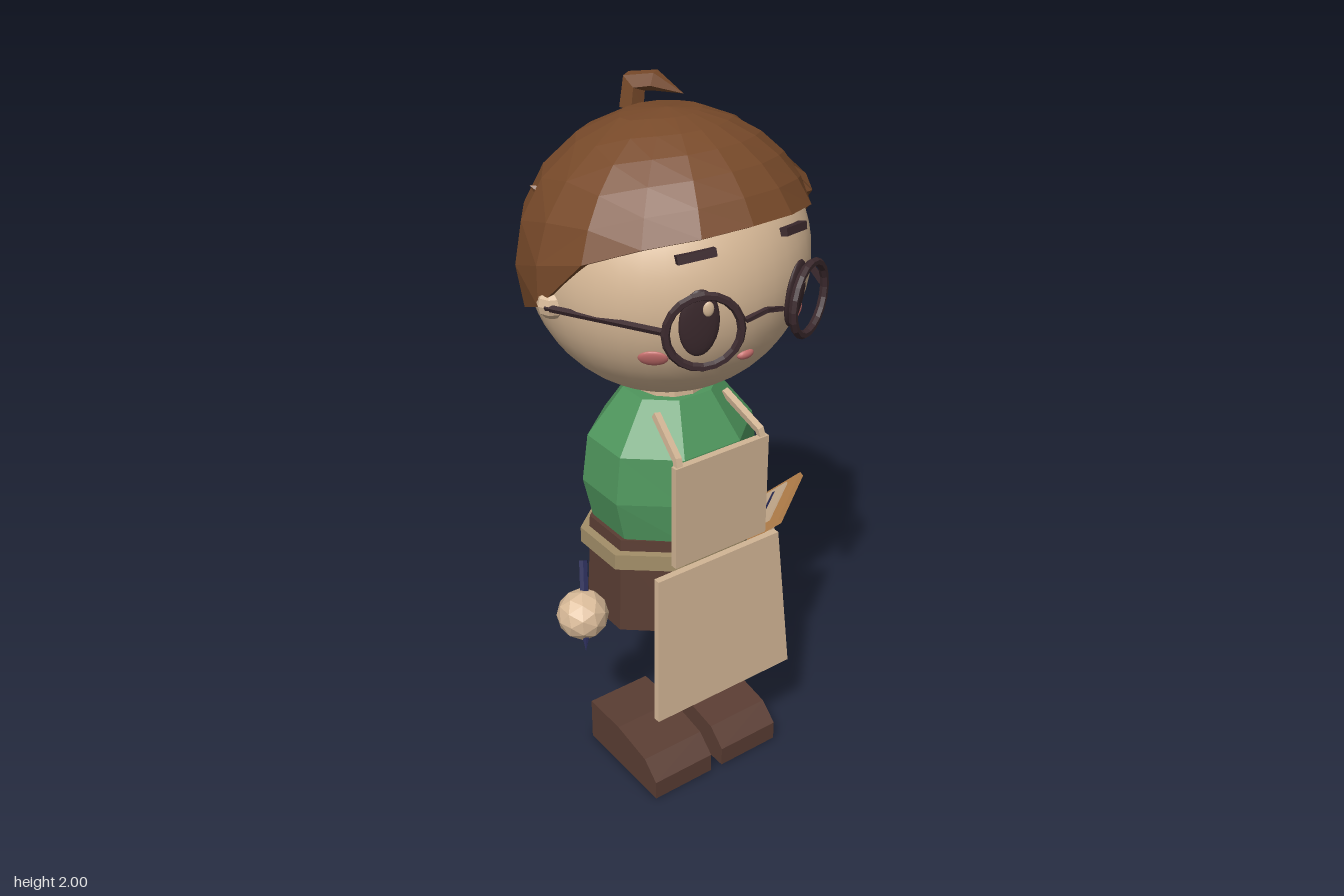
import * as THREE from 'three';

const mat = (name, color) => {
  const m = new THREE.MeshStandardMaterial({ color });
  m.name = name;
  return m;
};
const V = (x, y, z) => new THREE.Vector3(x, y, z);
const UP = V(0, 1, 0);

// Facet a geometry so every face has its own normal
function flat(g) {
  const f = g.index ? g.toNonIndexed() : g;
  f.computeVertexNormals();
  return f;
}

// Skin a stack of rings (bottom to top) with flat faces
function loft(rings) {
  const n = rings[0].length, idx = [];
  for (let i = 0; i < rings.length - 1; i++) {
    for (let j = 0; j < n; j++) {
      const a = i * n + j, b = i * n + (j + 1) % n;
      idx.push(a, b, a + n, b, b + n, a + n);
    }
  }
  const g = new THREE.BufferGeometry().setFromPoints(rings.flat());
  g.setIndex(idx);
  return flat(g);
}

// Octagonal body ring with a flat face to the front; rx, rz reach to the faces
function octagon(y, rx, rz) {
  return Array.from({ length: 8 }, (_, j) => {
    const a = (j + 0.5) * Math.PI / 4;
    return V(Math.sin(a) * rx / 0.924, y, Math.cos(a) * rz / 0.924 + 0.012);
  });
}
const bodyLoft = rows => loft([[rows[0][0], 0, 0], ...rows, [rows.at(-1)[0], 0, 0]].map(r => octagon(...r)));

// Faceted rod along points, with a radius at each point and closed ends
function rod(points, radii, sides = 5) {
  const p = points.map(q => V(...q)), last = p.length - 1;
  const rings = p.map((c, i) => {
    const t = p[Math.min(i + 1, last)].clone().sub(p[Math.max(i - 1, 0)]).normalize();
    const q = new THREE.Quaternion().setFromUnitVectors(UP, t);
    return Array.from({ length: sides }, (_, j) => {
      const a = (j + 0.5) / sides * Math.PI * 2;
      return V(Math.sin(a) * radii[i], 0, Math.cos(a) * radii[i]).applyQuaternion(q).add(c);
    });
  });
  return loft([rings[0].map(() => p[0]), ...rings, rings[last].map(() => p[last])]);
}

export function createModel() {
  const skin = mat('skin', 0xdabb99), hair = mat('hair brown', 0x784a2a), green = mat('shirt green', 0x4f965d);
  const canvas = mat('apron canvas', 0xd2b595), olive = mat('belt olive', 0xa38f69), leather = mat('dark brown', 0x5a3d33);
  const dark = mat('frame dark', 0x3c2a2e), pink = mat('blush pink', 0xc8706e);
  const wood = mat('board wood', 0xc08850), navy = mat('pen navy', 0x282a55);

  const root = new THREE.Group();
  root.name = 'figure';
  const body = new THREE.Group();
  body.name = 'body';
  body.position.x = -0.018;
  root.add(body);
  const add = (name, geo, material, pos = [0, 0, 0], parent = body) => {
    const m = new THREE.Mesh(geo, material);
    m.name = name;
    m.position.set(...pos);
    parent.add(m);
    return m;
  };

  // Head
  const HY = 1.565, R = V(0.367, 0.355, 0.358);
  add('head', new THREE.SphereGeometry(1, 40, 28), skin, [0, HY, 0]).scale.copy(R);
  add('neck', flat(new THREE.CylinderGeometry(0.1, 0.1, 0.08, 12)), skin, [0, 1.2, 0.01]);

  // Flattened piece lying on the face at x, y
  const onFace = (name, x, y, w, h, d, material, lift = 0) => {
    const dx = x / R.x, dy = (y - HY) / R.y;
    const z = R.z * Math.sqrt(1 - dx * dx - dy * dy);
    const n = V(dx / R.x, dy / R.y, z / R.z / R.z).normalize();
    const m = add(name, new THREE.SphereGeometry(1, 16, 12), material, V(x, y, z).addScaledVector(n, lift).toArray());
    m.scale.set(w, h, d);
    m.quaternion.setFromEuler(new THREE.Euler(-Math.asin(n.y), Math.atan2(n.x, n.z), 0, 'YXZ'));
    return m;
  };

  // Hair cap: high over the brow, low at the nape
  const rim = [1.085, 1.11, 1.17, 1.31, 1.70, 1.87, 1.89, 1.91, 1.91], H = V(0.392, 0.375, 0.382);
  const capRing = (f, k) => Array.from({ length: 16 }, (_, j) => {
    const a = j * Math.PI / 8, t = rim[Math.min(j, 16 - j)] * f;
    return V(Math.sin(t) * Math.sin(a), Math.cos(t), Math.sin(t) * Math.cos(a)).multiply(H).multiplyScalar(k);
  });
  const cap = [capRing(1, 0.9)];
  for (let i = 6; i >= 0; i--) cap.push(capRing(i / 6, 1));
  add('hairCap', loft(cap), hair, [0, HY, 0]);

  // Small hair spikes
  const spikes = [[0, 1.53, -0.41], [0.07, 1.75, -0.34], [0.24, 1.58, -0.34], [0.29, 1.76, -0.185],
    [-0.115, 1.66, -0.36], [-0.235, 1.57, -0.34], [-0.31, 1.765, -0.145]];
  for (const s of spikes) {
    const dir = V(s[0], s[1] - HY, s[2]).normalize();
    const tip = V(...s), base = tip.clone().addScaledVector(dir, -0.07);
    add('hairSpike', rod([base.toArray(), tip.toArray()], [0.042, 0]), hair);
  }

  // Curled tuft on the crown and swept locks over the left ear
  add('hairTuft', rod([[0, 1.9, -0.155], [0.01, 1.965, -0.155], [0.035, 1.975, -0.105], [0.085, 1.945, -0.05]],
    [0.032, 0.035, 0.027, 0], 5), hair);
  for (let i = 0; i < 3; i++) {
    add('sideLock', rod([[0.27 + i * 0.012, 1.80 - i * 0.02, 0.10 - i * 0.04], [0.34, 1.70 - i * 0.02, 0.10 - i * 0.035],
      [0.382, 1.58 - i * 0.03, 0.03 - i * 0.035]], [0.01, 0.042, 0], 4), hair);
  }

  // Spectacles bridge, mouth
  add('bridge', rod([[-0.055, 1.535, 0.385], [0, 1.55, 0.395], [0.055, 1.535, 0.385]], [0.008, 0.008, 0.008], 4), dark);
  onFace('mouth', 0, 1.405, 0.025, 0.014, 0.012, pink);

  // Straight-profile shoe, toe to the front
  const side = new THREE.Shape([[-0.095, 0], [0.24, 0], [0.24, 0.06], [0.185, 0.11], [0.05, 0.135], [-0.095, 0.135]]
    .map(p => new THREE.Vector2(...p)));
  const shoe = new THREE.ExtrudeGeometry(side, { depth: 0.2, bevelEnabled: false }).rotateY(-Math.PI / 2).translate(0.1, 0, 0);

  // Mirrored parts
  for (const s of [-1, 1]) {
    onFace('eye', s * 0.147, 1.53, 0.05, 0.09, 0.012, dark);
    onFace('eyeGlint', s * 0.147 + 0.016, 1.57, 0.014, 0.019, 0.006, canvas, 0.012);
    onFace('cheek', s * 0.225, 1.43, 0.037, 0.024, 0.008, pink);
    add('ear', flat(new THREE.SphereGeometry(0.04, 8, 6)), skin, [s * 0.357, 1.525, 0.015]);

    const brow = add('eyebrow', flat(new THREE.BoxGeometry(0.095, 0.02, 0.025)), dark, [s * 0.145, 1.692, 0.308]);
    brow.rotation.set(-0.2, s * 0.36, -s * 0.12, 'YXZ');

    const rimMesh = add('lensRim', flat(new THREE.TorusGeometry(0.091, 0.011, 6, 20)), dark, [s * 0.161, 1.525, 0.362]);
    rimMesh.rotation.y = s * 0.43;
    add('temple', rod([[s * 0.245, 1.53, 0.315], [s * 0.385, 1.525, 0.03]], [0.009, 0.009], 4), dark);

    add('apronStrap', rod([[s * 0.137, 1.08, 0.232], [s * 0.135, 1.105, 0.225], [s * 0.112, 1.175, 0.1]],
      [0.013, 0.013, 0.013], 4), canvas);
    add('hand', flat(new THREE.IcosahedronGeometry(0.073, 1)), skin, [s * 0.306, 0.568, 0.015]);
    add('shoe', shoe, leather, [s * 0.12, 0, 0]);
  }

  // Torso, shorts and belt
  add('shirt', bodyLoft([[0.815, 0.21, 0.185], [0.94, 0.237, 0.196], [1.075, 0.22, 0.186], [1.205, 0.125, 0.108]]), green);
  add('waistband', bodyLoft([[0.775, 0.226, 0.185], [0.82, 0.222, 0.183]]), leather);
  add('shorts', bodyLoft([[0.53, 0.235, 0.197], [0.79, 0.222, 0.18]]), leather);
  add('belt', bodyLoft([[0.74, 0.248, 0.204], [0.787, 0.248, 0.204]]), olive);

  // Apron: upright bib and a skirt flaring forward
  add('apronBib', flat(new THREE.BoxGeometry(0.305, 0.305, 0.02)), canvas, [0, 0.938, 0.233]);
  const skirt = new THREE.BoxGeometry(0.41, 0.44, 0.02), sp = skirt.attributes.position;
  for (let i = 0; i < sp.count; i++) {
    if (sp.getY(i) < 0) sp.setXYZ(i, sp.getX(i) * 1.135, sp.getY(i), sp.getZ(i) + 0.035);
  }
  add('apronSkirt', flat(skirt), canvas, [0, 0.54, 0.228]);

  // Writing board, its upper face tilted back toward the body
  const board = new THREE.Group();
  board.name = 'writingBoard';
  const bx = V(-0.81, 0, 0.59).normalize();
  const bz = bx.clone().cross(V(0.441, 0.667, 0.605)).normalize();
  board.quaternion.setFromRotationMatrix(new THREE.Matrix4().makeBasis(bx, bz.clone().cross(bx), bz));
  board.position.set(0.235, 0.7, 0.074);
  root.add(board);
  add('boardPanel', flat(new THREE.BoxGeometry(0.266, 0.285, 0.014)), wood, [0, 0, 0], board);
  add('paper', flat(new THREE.BoxGeometry(0.21, 0.225, 0.006)), canvas, [0, -0.01, 0.009], board);
  for (let i = 0; i < 4; i++) {
    add('writtenLine', flat(new THREE.BoxGeometry(0.16, 0.008, 0.004)), navy, [0, 0.06 - i * 0.045, 0.012], board);
  }

  // Pen held in the right hand
  add('pen', rod([[-0.264, 0.70, -0.04], [-0.323, 0.53, 0.055], [-0.337, 0.49, 0.075]], [0.013, 0.013, 0], 6), navy);

  return root;
}
